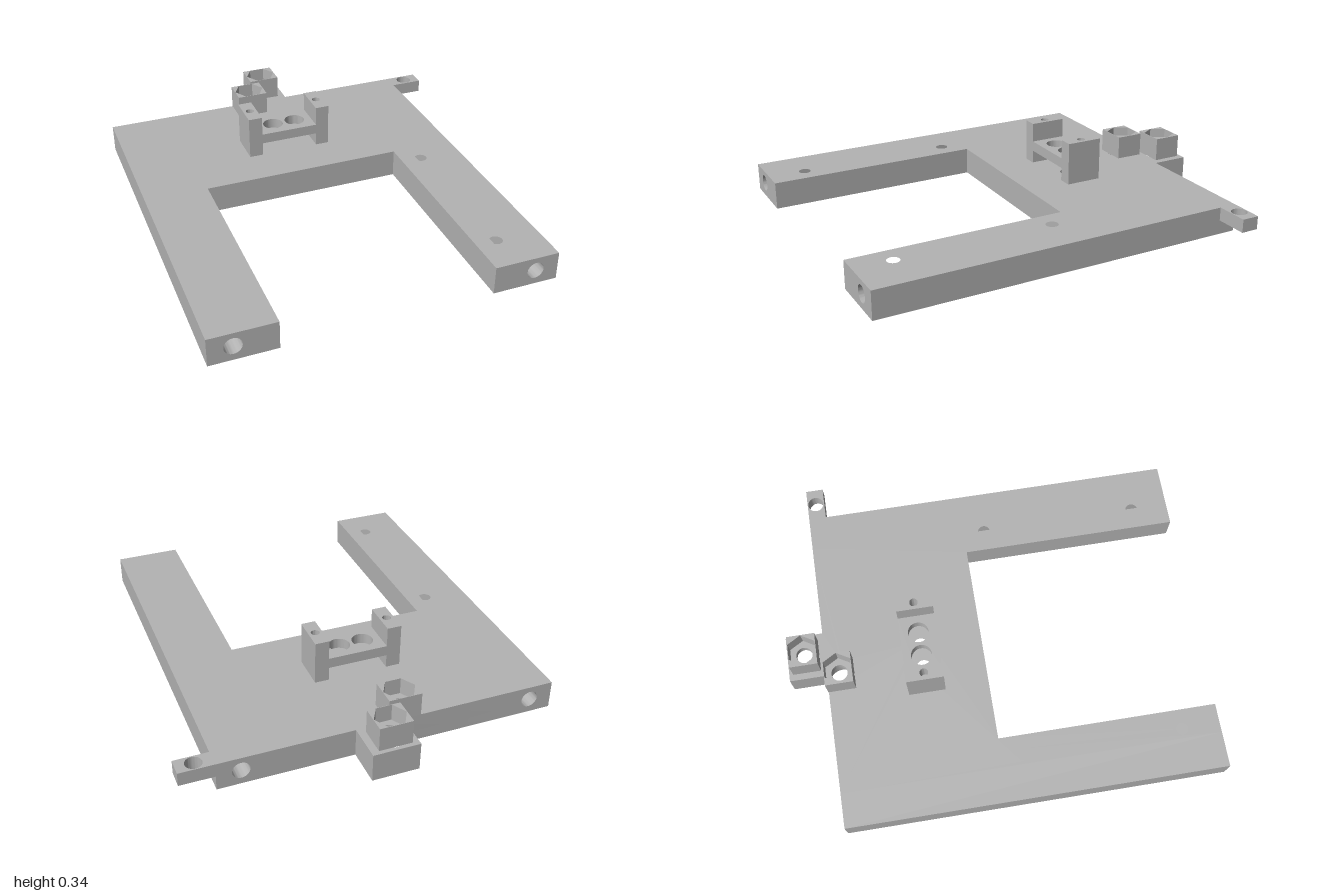
import * as THREE from 'three';
import { toCreasedNormals } from 'three/addons/utils/BufferGeometryUtils.js';

const T = 0.135; // plate thickness

// Shapes are drawn in plan as (x, -z)
function circle(x, s, r) {
  return new THREE.Path().absarc(x, s, r, 0, Math.PI * 2, true);
}
function hexagon(x, s, r) {
  const pts = [];
  for (let i = 0; i < 6; i++) {
    const a = (i * Math.PI) / 3;
    pts.push(new THREE.Vector2(x + r * Math.cos(a), s + r * Math.sin(a)));
  }
  return new THREE.Path(pts);
}
function rect(x0, x1, s0, s1, holes = []) {
  const shape = new THREE.Shape([[x0, s0], [x1, s0], [x1, s1], [x0, s1]].map(p => new THREE.Vector2(...p)));
  shape.holes.push(...holes);
  return shape;
}

export function createModel() {
  const group = new THREE.Group();
  const grey = new THREE.MeshStandardMaterial({ color: 0xb3b3b3 });
  grey.name = 'grey plastic';

  function extrude(shape, depth) {
    const geo = new THREE.ExtrudeGeometry(shape, { depth, bevelEnabled: false, curveSegments: 20 });
    return toCreasedNormals(geo, 0.5);
  }
  function add(name, geo) {
    const mesh = new THREE.Mesh(geo, grey);
    mesh.name = name;
    group.add(mesh);
  }
  // Horizontal slab between two heights
  function slab(name, shape, y0, y1) {
    add(name, extrude(shape, y1 - y0).rotateX(-Math.PI / 2).translate(0, y0, 0));
  }

  // Side rails, each bored from front to back
  for (const [name, x0, x1, hx] of [['rightRail', -0.875, -0.71, -0.765], ['leftRail', 0.55, 0.715, 0.605]]) {
    add(name, extrude(rect(x0, x1, 0, T, [circle(hx, 0.07, 0.04)]), 1.82).translate(0, 0, -0.82));
  }

  // U-shaped centre plate with rear tab; one bolt bore just breaks the rear edge
  function plateShape(extraHoles) {
    const s = new THREE.Shape();
    s.moveTo(-0.71, -1);
    s.lineTo(-0.71, 0.82);
    s.lineTo(-0.163, 0.82);
    s.absarc(-0.137, 0.755, 0.07, 1.951, 1.471 + Math.PI * 2, false);
    for (const [x, y] of [[-0.13, 1], [0.09, 1], [0.09, 0.82], [0.55, 0.82], [0.55, -1],
      [0.405, -1], [0.405, 0.053], [-0.57, 0.053], [-0.57, -1]]) s.lineTo(x, y);
    s.closePath();
    s.holes.push(circle(-0.022, 0.913, 0.07), circle(-0.137, 0.352, 0.038),
      circle(-0.022, 0.352, 0.038), ...extraHoles);
    return s;
  }
  // Blind screw holes exist only in the upper layer
  const screwHoles = [];
  for (const x of [-0.665, 0.505]) for (const s of [-0.052, -0.818]) screwHoles.push(circle(x, s, 0.03));
  slab('plateLower', plateShape([]), 0, 0.05);
  slab('plateUpper', plateShape(screwHoles), 0.05, T);

  // Small ear at the rear corner
  slab('ear', rect(0.715, 0.875, 0.735, 0.82, [circle(0.795, 0.778, 0.038)]), 0.07, T);

  // Blocks with hexagonal nut pockets
  for (const [x, s] of [[-0.137, 0.755], [-0.022, 0.913]]) {
    const box = hole => rect(x - 0.0775, x + 0.0775, s - 0.0675, s + 0.0675, [hole]);
    slab('nutBlockFloor', box(circle(x, s, 0.039)), T, 0.17);
    slab('nutBlockWall', box(hexagon(x, s, 0.0755)), 0.17, 0.25);
  }

  // Bridge: two posts with blind screw holes and a drilled deck
  for (const [x0, x1] of [[-0.29, -0.222], [0.063, 0.13]]) {
    slab('bridgePostLower', rect(x0, x1, 0.263, 0.44), T, 0.25);
    slab('bridgePostUpper', rect(x0, x1, 0.263, 0.44, [circle((x0 + x1) / 2, 0.352, 0.02)]), 0.25, 0.345);
  }
  slab('bridgeDeck', rect(-0.222, 0.063, 0.263, 0.44,
    [circle(-0.137, 0.352, 0.05), circle(-0.022, 0.352, 0.05)]), 0.2, 0.25);

  return group;
}
